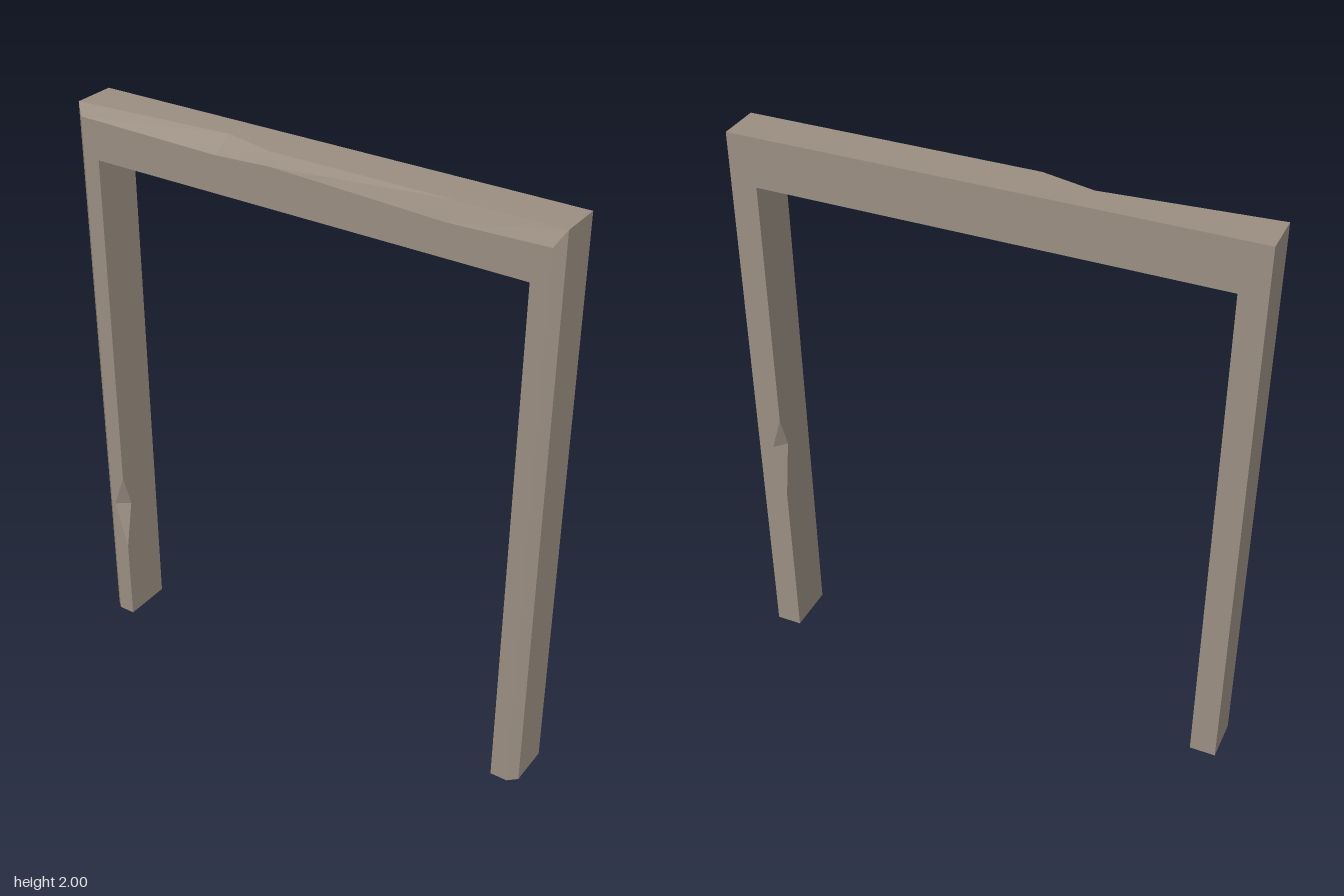
import * as THREE from 'three';

const X = 0.86, INNER = 0.77, BEVEL_X = 0.83; // outer, inner and bevelled half widths
const D = 0.0875, BEVEL_Z = 0.06;             // half depth, bevel start
const H = 1.83, TOP = 2;                      // underside and top of the lintel

// Triangulates a planar outline and turns it towards the outward hint.
function addFace(positions, points, outward) {
  const pts = points.map(p => new THREE.Vector3(...p));
  const hint = new THREE.Vector3(...outward);
  const size = new THREE.Box3().setFromPoints(pts).getSize(new THREE.Vector3());
  let [u, v] = ['x', 'y', 'z'].sort((a, b) => size[b] - size[a]);
  const flat = pts.map(p => new THREE.Vector2(p[u], p[v]));
  if (THREE.ShapeUtils.isClockWise(flat)) { flat.reverse(); pts.reverse(); }
  for (const [i, j, k] of THREE.ShapeUtils.triangulateShape(flat, [])) {
    const [a, b, c] = [pts[i], pts[j], pts[k]];
    const n = b.clone().sub(a).cross(c.clone().sub(a));
    const tri = n.dot(hint) < 0 ? [a, c, b] : [a, b, c];
    tri.forEach(p => positions.push(p.x, p.y, p.z));
  }
}

function makePart(name, faces, material) {
  const positions = [];
  faces.forEach(([points, outward]) => addFace(positions, points, outward));
  const geometry = new THREE.BufferGeometry();
  geometry.setAttribute('position', new THREE.Float32BufferAttribute(positions, 3));
  geometry.computeVertexNormals();
  const mesh = new THREE.Mesh(geometry, material);
  mesh.name = name;
  return mesh;
}

// Post with a bevelled front outer edge and a chip in one inner edge.
function postFaces(s, chip) {
  const x = s * X, i = s * INNER, c = s * BEVEL_X;
  const z = chip.side * D;
  const low = [i, chip.low, z], high = [i, chip.high, z];
  const onFace = [s * (INNER + chip.width), chip.mid, z];
  const onInner = [i, chip.mid, z - chip.side * chip.depth];
  const cut = (side, tip) => side === chip.side ? [low, tip, high] : [];
  return [
    [[[x, 0, -D], [x, 0, BEVEL_Z], [x, H, BEVEL_Z], [x, H, -D]], [s, 0, 0]],
    [[[x, 0, BEVEL_Z], [c, 0, D], [c, H, D], [x, H, BEVEL_Z]], [s, 0, 1]],
    [[[c, 0, D], [i, 0, D], ...cut(1, onFace), [i, H, D], [c, H, D]], [0, 0, 1]],
    [[[x, 0, -D], [i, 0, -D], ...cut(-1, onFace), [i, H, -D], [x, H, -D]], [0, 0, -1]],
    [[[i, 0, -D], ...cut(-1, onInner), [i, H, -D], [i, H, D],
      ...cut(1, onInner).reverse(), [i, 0, D]], [-s, 0, 0]],
    [[[x, 0, -D], [x, 0, BEVEL_Z], [c, 0, D], [i, 0, D], [i, 0, -D]], [0, -1, 0]],
    // the two sloping faces of the chip
    [[high, onFace, onInner], [-s, 0, chip.side]],
    [[low, onFace, onInner], [-s, 0, chip.side]],
  ];
}

// Lintel with an uneven worn bevel along its front top edge.
function lintelFaces() {
  const lower = [[-BEVEL_X, 1.965], [-0.3, 1.955], [-0.1, 1.965], [0.5, 1.94], [BEVEL_X, 1.95]]
    .map(([x, y]) => [x, y, D]);
  const upper = [[-X, BEVEL_Z], [-0.3, 0.015], [-0.12, BEVEL_Z], [0.5, BEVEL_Z], [X, BEVEL_Z]]
    .map(([x, z]) => [x, TOP, z]);
  const faces = [
    [[[BEVEL_X, H, D], [-BEVEL_X, H, D], ...lower], [0, 0, 1]],
    [[[X, TOP, -D], [-X, TOP, -D], ...upper], [0, 1, 0]],
    [[[-X, H, -D], [X, H, -D], [X, TOP, -D], [-X, TOP, -D]], [0, 0, -1]],
    [[[-INNER, H, -D], [INNER, H, -D], [INNER, H, D], [-INNER, H, D]], [0, -1, 0]],
  ];
  for (let k = 0; k < 4; k++) {
    faces.push([[lower[k], lower[k + 1], upper[k + 1]], [0, 1, 1]]);
    faces.push([[lower[k], upper[k + 1], upper[k]], [0, 1, 1]]);
  }
  // ends and their bevels
  for (const s of [-1, 1]) {
    const x = s * X;
    const ridge = s < 0 ? lower[0] : lower[4];
    faces.push([[[x, H, -D], [x, H, BEVEL_Z], [x, TOP, BEVEL_Z], [x, TOP, -D]], [s, 0, 0]]);
    faces.push([[[s * BEVEL_X, H, D], [x, H, BEVEL_Z], [x, TOP, BEVEL_Z], ridge], [s, 0, 1]]);
  }
  return faces;
}

export function createModel() {
  const wood = new THREE.MeshStandardMaterial({ color: 0x9c9083 });
  wood.name = 'weathered wood';
  const group = new THREE.Group();
  group.name = 'doorFrame';
  const frontChip = { side: 1, low: 0.31, mid: 0.485, high: 0.61, width: 0.045, depth: 0.035 };
  const backChip = { side: -1, low: 0.62, mid: 0.82, high: 0.94, width: 0.037, depth: 0.037 };
  group.add(
    makePart('rightPost', postFaces(-1, frontChip), wood),
    makePart('leftPost', postFaces(1, backChip), wood),
    makePart('lintel', lintelFaces(), wood),
  );
  return group;
}
